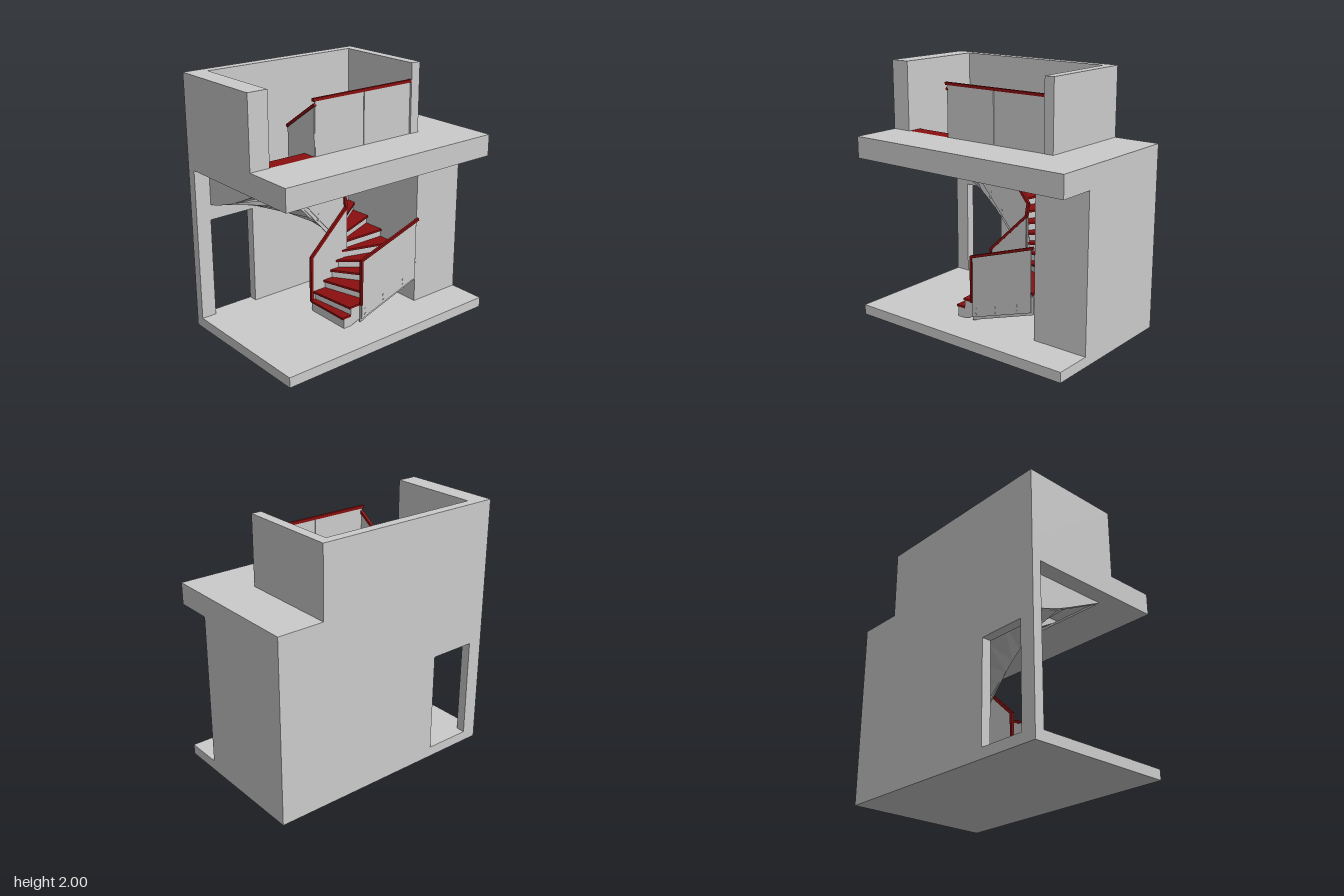
import * as THREE from 'three';

const grey = new THREE.MeshStandardMaterial({ color: 0xcccccc });
const red = new THREE.MeshStandardMaterial({ color: 0x8b0f0f });

// Winder lines from bottom to top: inner x, z, outer x, z
const LINES = [
  [-0.24, -0.09, -0.24, 0.3], [-0.21, -0.09, -0.17, 0.3], [-0.11, -0.09, 0, 0.3],
  [-0.04, -0.09, 0.23, 0.3], [0.02, -0.09, 0.48, 0.3], [0.08, -0.09, 0.51, 0.04],
  [0.12, -0.1, 0.51, -0.1], [0.13, -0.115, 0.51, -0.27], [0.1, -0.135, 0.51, -0.44],
  [0.04, -0.14, 0.34, -0.525], [-0.04, -0.14, 0.16, -0.525], [-0.11, -0.14, -0.035, -0.525],
  [-0.185, -0.14, -0.22, -0.525], [-0.25, -0.14, -0.405, -0.525], [-0.33, -0.14, -0.585, -0.525],
  [-0.37, -0.14, -0.8, -0.43], [-0.4, -0.13, -0.8, -0.23], [-0.41, -0.12, -0.8, -0.12],
  [-0.41, -0.02, -0.8, -0.02], [-0.41, 0.08, -0.8, 0.08], [-0.41, 0.2, -0.8, 0.2],
];
// Wall corners reached by the steps that turn
const CORNERS = { 4: [0.51, 0.3], 8: [0.51, -0.525], 14: [-0.8, -0.525] };
const TREAD = 0.016;
const topOf = (n) => 0.172 + 0.0675 * n;
const soffit = (n, drop) => Math.min(1.3, Math.max(0.08, topOf(n) - drop));

export function createModel() {
  const model = new THREE.Group();

  const add = (parent, name, geometry, material = grey) => {
    const mesh = new THREE.Mesh(geometry, material);
    mesh.name = name;
    parent.add(mesh);
    return mesh;
  };
  const group = (name) => {
    const g = new THREE.Group();
    g.name = name;
    model.add(g);
    return g;
  };
  const box = (parent, name, x0, x1, y0, y1, z0, z1) =>
    add(parent, name, new THREE.BoxGeometry(x1 - x0, y1 - y0, z1 - z0)
      .translate((x0 + x1) / 2, (y0 + y1) / 2, (z0 + z1) / 2));
  const shapeOf = (pts) => new THREE.Shape(pts.map(([x, y]) => new THREE.Vector2(x, y)));
  const extrude = (pts, depth) =>
    new THREE.ExtrudeGeometry(shapeOf(pts), { depth, bevelEnabled: false });
  // Plate facing z, from an outline in x and y
  const plateZ = (parent, name, pts, z, t) =>
    add(parent, name, extrude(pts, t).translate(0, 0, z));
  // Plate facing x, from an outline in z and y
  const plateX = (parent, name, pts, x, t) =>
    add(parent, name, extrude(pts, t).rotateY(-Math.PI / 2).translate(x + t, 0, 0));
  // Square bars joining points in turn
  const rail = (parent, name, pts, w = 0.022) => {
    for (let i = 0; i + 1 < pts.length; i++) {
      const a = new THREE.Vector3(...pts[i]), b = new THREE.Vector3(...pts[i + 1]);
      const bar = add(parent, name, new THREE.BoxGeometry(w, w, a.distanceTo(b) + w * 0.6), red);
      bar.position.copy(a).lerp(b, 0.5);
      bar.lookAt(b);
    }
  };
  // Prism over an outline in x and z, with a height per corner below
  const prism = (pts, bottoms, top) => {
    const pos = [], n = pts.length;
    const T = (i) => [pts[i][0], top, pts[i][1]];
    const B = (i) => [pts[i][0], bottoms[i], pts[i][1]];
    for (let i = 1; i + 1 < n; i++) {
      pos.push(...T(0), ...T(i), ...T(i + 1), ...B(0), ...B(i + 1), ...B(i));
    }
    for (let i = 0; i < n; i++) {
      const j = (i + 1) % n;
      pos.push(...B(i), ...B(j), ...T(j), ...B(i), ...T(j), ...T(i));
    }
    const g = new THREE.BufferGeometry();
    g.setAttribute('position', new THREE.Float32BufferAttribute(pos, 3));
    g.computeVertexNormals();
    return g;
  };

  // Building shell
  const shell = group('building');
  box(shell, 'groundSlab', -0.96, 0.96, 0, 0.08, -0.6, 0.6);
  box(shell, 'sideBlock', 0.51, 0.96, 0.08, 1.285, -0.6, 0.3);
  plateZ(shell, 'backWall', [[-0.96, 0.08], [-0.84, 0.08], [-0.84, 0.87], [-0.465, 0.87],
    [-0.465, 0.08], [0.51, 0.08], [0.51, 1.285], [-0.96, 1.285]], -0.6, 0.075);
  const floor = shapeOf([[-0.96, -0.6], [0.96, -0.6], [0.96, 0.6], [-0.96, 0.6]]);
  floor.holes.push(shapeOf([[-0.8, -0.2], [-0.8, 0.525], [0.51, 0.525], [0.51, -0.2]]));
  add(shell, 'upperSlab', new THREE.ExtrudeGeometry(floor, { depth: 0.17, bevelEnabled: false })
    .rotateX(-Math.PI / 2).translate(0, 1.285, 0));
  box(shell, 'upperBackWall', -0.8, 0.51, 1.455, 2, -0.6, -0.525);
  box(shell, 'upperRightWall', -0.96, -0.8, 1.455, 2, -0.6, 0.205);
  box(shell, 'upperLeftWall', 0.51, 0.59, 1.455, 2, -0.6, 0.205);

  // Winding steps: a red tread on a body whose underside forms the soffit
  const stairs = group('stairs');
  const setBack = ([ix, iz, ox, oz]) => {
    const l = 0.015 / Math.hypot(ox - ix, oz - iz);
    const dx = (oz - iz) * l, dz = (ix - ox) * l;
    return [ix + dx, iz + dz, ox + dx, oz + dz];
  };
  for (let n = 0; n < LINES.length - 1; n++) {
    const last = n === LINES.length - 2;
    const front = LINES[n], body = setBack(front);
    const next = last ? LINES[n + 1] : setBack(LINES[n + 1]);
    const turn = CORNERS[n] ? [CORNERS[n]] : [];
    const outline = (a) => [[a[0], a[1]], [a[2], a[3]], ...turn, [next[2], next[3]], [next[0], next[1]]];
    const lower = [soffit(n, 0.14), soffit(n, 0.17), ...turn.map(() => soffit(n + 0.5, 0.17)),
      soffit(n + 1, 0.17), soffit(n + 1, 0.14)];
    const under = topOf(n) - TREAD;
    add(stairs, 'stepBody', prism(outline(body), lower, under));
    add(stairs, 'tread', prism(outline(front), lower.map(() => under), topOf(n)), red);
  }

  // Stringers
  plateX(stairs, 'outerSideStringer', [[-0.525, 0.99], [-0.43, 1.01], [-0.23, 1.08],
    [-0.12, 1.13], [0.2, 1.285], [-0.525, 1.285]], -0.835, 0.035);
  plateZ(stairs, 'frontStringer', [[-0.07, 0.085], [0.01, 0.115], [0.51, 0.28], [0.51, 0.42],
    [0.26, 0.36], [-0.07, 0.22]], 0.295, 0.012);
  plateZ(stairs, 'innerUpperStringer', [[0.13, 0.48], [0.13, 0.68], [-0.4, 1.26], [-0.4, 1.09]],
    -0.14, 0.012);

  // Glazed guards, with clamp bolts through the panels
  const guards = group('guards');
  plateZ(guards, 'frontPanel', [[-0.065, 0.115], [0.49, 0.295], [0.49, 0.785], [-0.065, 0.6]], 0.311, 0.009);
  plateZ(guards, 'innerLowerPanel', [[-0.22, 0.085], [0.13, 0.48], [0.13, 0.86], [-0.22, 0.52]], -0.1, 0.009);
  plateZ(guards, 'innerUpperPanel', [[0.13, 0.52], [0.13, 0.95], [-0.4, 1.61], [-0.4, 1.13]], -0.126, 0.009);
  plateX(guards, 'sidePanel', [[-0.12, 1.11], [0.19, 1.29], [0.19, 1.82], [-0.12, 1.61]], -0.405, 0.009);
  for (const [x0, x1] of [[-0.4, 0.046], [0.052, 0.505]]) {
    box(guards, 'landingPanel', x0, x1, 1.3, 1.855, 0.185, 0.194);
  }
  const bolts = [[-0.03, 0.17, 0.317], [0.155, 0.23, 0.317], [0.36, 0.298, 0.317],
    [-0.34, 1.1, -0.12], [-0.24, 0.967, -0.12], [-0.13, 0.835, -0.12]];
  for (const [x, y, z] of bolts) {
    for (const dy of [-0.022, 0.022]) {
      add(guards, 'clampBolt', new THREE.CylinderGeometry(0.01, 0.01, 0.014, 12)
        .rotateX(Math.PI / 2).translate(x, y + dy, z));
    }
  }

  // Red handrails
  const rails = group('handrails');
  rail(rails, 'frontHandrail', [[-0.07, 0.24, 0.318], [-0.07, 0.602, 0.318], [0.505, 0.79, 0.318]], 0.02);
  rail(rails, 'innerHandrail', [[-0.22, 0.165, -0.1], [-0.22, 0.525, -0.1], [0.13, 0.86, -0.1],
    [0.13, 0.955, -0.122], [-0.4, 1.615, -0.122], [-0.4, 1.825, 0.19]]);
  rail(rails, 'landingHandrail', [[-0.41, 1.863, 0.19], [0.503, 1.863, 0.19]]);

  return model;
}
